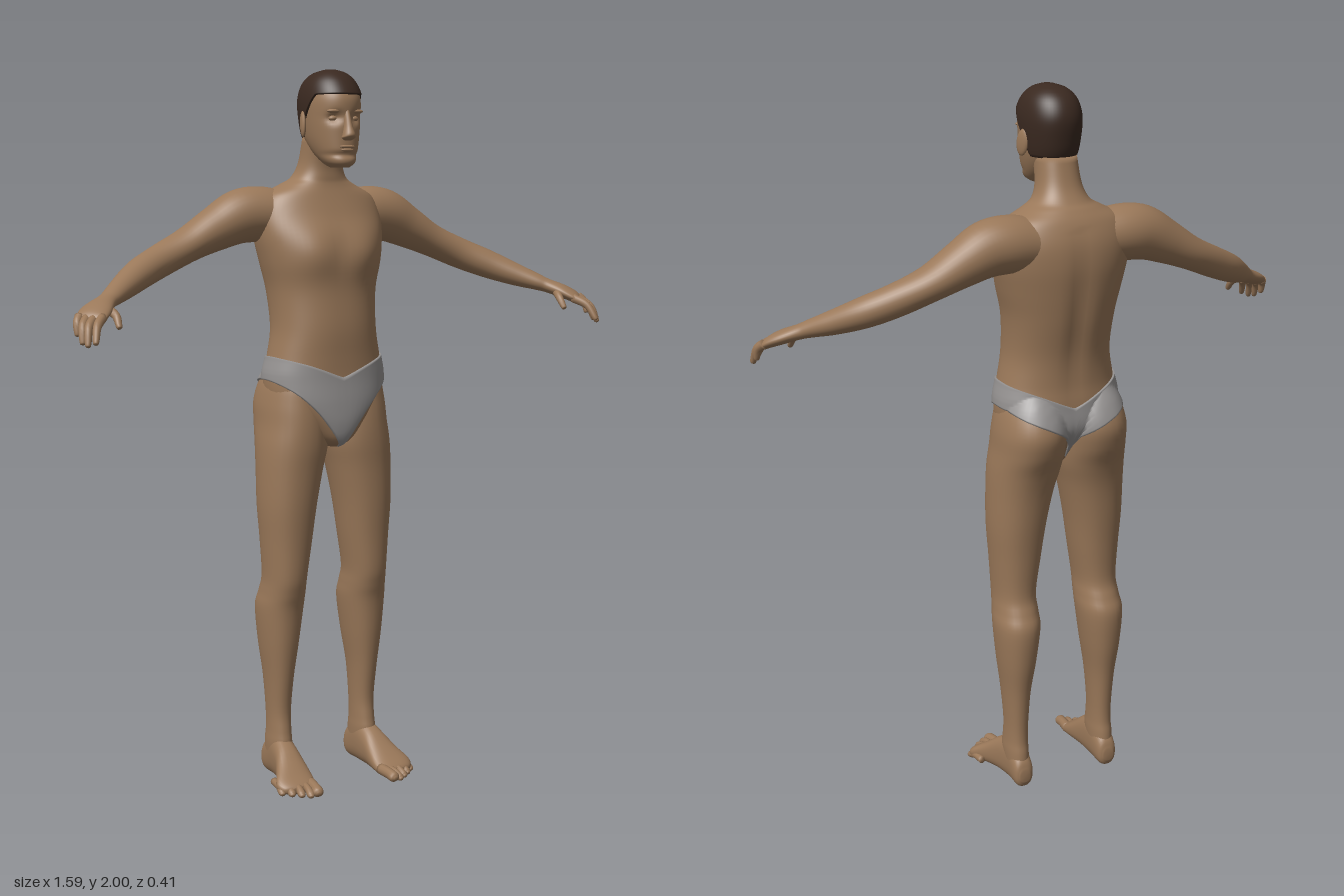
import * as THREE from 'three';

const V = (x, y, z) => new THREE.Vector3(x, y, z);
const flat = (name, color) => {
  const m = new THREE.MeshStandardMaterial({ color, side: THREE.DoubleSide });
  m.name = name;
  return m;
};

// Closed grid of rings (arrays of points), with optional fans over the ends
function skinRings(rings, capStart = true, capEnd = true) {
  const n = rings[0].length, pts = rings.flat(), index = [];
  for (let i = 0; i < rings.length - 1; i++) {
    for (let j = 0; j < n; j++) {
      const a = i * n + j, b = i * n + (j + 1) % n;
      index.push(a, b, b + n, a, b + n, a + n);
    }
  }
  const cap = (ring, start, flip) => {
    const c = pts.push(ring.reduce((s, p) => s.add(p), V(0, 0, 0)).divideScalar(n)) - 1;
    for (let j = 0; j < n; j++) {
      const a = start + j, b = start + (j + 1) % n;
      index.push(c, flip ? b : a, flip ? a : b);
    }
  };
  if (capStart) cap(rings[0], 0, true);
  if (capEnd) cap(rings.at(-1), (rings.length - 1) * n, false);
  const g = new THREE.BufferGeometry().setFromPoints(pts);
  g.setIndex(index);
  g.computeVertexNormals();
  return g;
}

// Smooth loft. Rows: 'y' [y,x0,x1,z0,z1], 'z' [z,x0,x1,y0,y1], 'path' [x,y,z,halfHeight,halfWidth]
function loft(kind, rows, { seg = 32, sub = 5, e = 2, deform } = {}) {
  const centre = [], size = [];
  for (const [p, q, r, s, t] of rows) {
    if (kind === 'path') { centre.push(V(p, q, r)); size.push(V(t, s, 0)); continue; }
    const u = (q + r) / 2, v = (s + t) / 2, hu = (r - q) / 2, hv = (t - s) / 2;
    centre.push(kind === 'y' ? V(u, p, v) : V(u, v, p));
    size.push(kind === 'y' ? V(hv, hu, 0) : V(hu, hv, 0));
  }
  const C = new THREE.CatmullRomCurve3(centre, false, 'catmullrom', 0.5);
  const S = new THREE.CatmullRomCurve3(size, false, 'catmullrom', 0.5);
  const steps = (rows.length - 1) * sub, rings = [];
  const pow = (c) => Math.sign(c) * Math.abs(c) ** (2 / e);
  for (let i = 0; i <= steps; i++) {
    const c = C.getPoint(i / steps), s = S.getPoint(i / steps);
    let A = V(0, 0, 1), B = V(1, 0, 0);
    if (kind === 'z') { A = V(1, 0, 0); B = V(0, 1, 0); }
    if (kind === 'path') {
      const T = C.getTangent(i / steps);
      A = V(0, 1, 0).cross(T).normalize();
      B = T.clone().cross(A);
    }
    rings.push(Array.from({ length: seg }, (_, j) => {
      const a = (j / seg) * Math.PI * 2;
      const p = c.clone().addScaledVector(A, s.x * pow(Math.cos(a))).addScaledVector(B, s.y * pow(Math.sin(a)));
      if (deform) deform(p);
      return p;
    }));
  }
  return skinRings(rings);
}

function mirrored(g) {
  const m = g.clone().scale(-1, 1, 1), ix = m.index.array;
  for (let i = 0; i < ix.length; i += 3) [ix[i], ix[i + 1]] = [ix[i + 1], ix[i]];
  m.computeVertexNormals();
  return m;
}

// Thin shell lying on other meshes, between two heights given per direction
function shell(targets, axisZ, low, high, thick, seg, rows, closeTop) {
  const ray = new THREE.Raycaster(), rings = [];
  for (let i = -1; i <= rows + (closeTop ? 0 : 1); i++) {
    const t = Math.min(Math.max(i / rows, 0), 1);
    const off = i < 0 || i > rows ? -0.004 : thick;
    rings.push(Array.from({ length: seg }, (_, j) => {
      const a = (j / seg) * Math.PI * 2, d = V(Math.sin(a), 0, Math.cos(a));
      const y = THREE.MathUtils.lerp(low(d.x, d.z), high(d.x, d.z), t);
      ray.set(V(0, y, axisZ).addScaledVector(d, 1), d.clone().negate());
      const hit = ray.intersectObjects(targets)[0];
      return hit ? hit.point.clone().addScaledVector(hit.face.normal, off) : V(0, y, axisZ);
    }));
  }
  return skinRings(rings, false, closeTop);
}

export function createModel() {
  const body = new THREE.Group();
  body.name = 'standingMan';
  const skin = flat('skin', 0x9a7859), hairMat = flat('hair', 0x3a2920), cloth = flat('briefsCloth', 0x949190);
  const add = (name, g, m = skin) => {
    const mesh = new THREE.Mesh(g, m);
    mesh.name = name;
    body.add(mesh);
    return mesh;
  };
  const pair = (name, g) => [add('left' + name, g), add('right' + name, mirrored(g))];
  const ball = (x, y, z, a, b, c) => new THREE.SphereGeometry(1, 16, 12).scale(a, b, c).translate(x, y, z);
  const sym = (rows) => rows.map(([y, w, z0, z1]) => [y, -w, w, z0, z1]);
  const bump = (d, r) => Math.exp(-(d * d) / (r * r));

  // Torso and neck, with soft chest and a spine groove
  const torso = add('torso', loft('y', sym([
    [0.965, 0.015, -0.06, 0.03], [0.985, 0.05, -0.09, 0.068], [1.03, 0.1, -0.125, 0.08],
    [1.09, 0.165, -0.165, 0.08], [1.16, 0.175, -0.165, 0.075], [1.22, 0.163, -0.16, 0.075],
    [1.3, 0.15, -0.165, 0.077], [1.4, 0.155, -0.185, 0.07], [1.48, 0.173, -0.197, 0.07],
    [1.55, 0.187, -0.203, 0.056], [1.61, 0.188, -0.198, 0.03], [1.66, 0.165, -0.18, 0.01],
    [1.69, 0.11, -0.16, 0], [1.71, 0.077, -0.142, -0.002], [1.75, 0.06, -0.12, 0], [1.82, 0.055, -0.1, 0.02],
  ]), {
    seg: 64, e: 2.3,
    deform: (p) => {
      if (p.z > 0) p.z += 0.014 * bump(Math.abs(p.x) - 0.075, 0.06) * bump(p.y - 1.51, 0.06);
      else if (p.y < 1.65) p.z += 0.01 * bump(p.x, 0.025) * bump(p.y - 1.4, 0.2);
    },
  }));

  // Legs, including the buttocks
  const legs = pair('Leg', loft('y', [
    [0.04, 0.108, 0.167, -0.122, -0.02], [0.1, 0.105, 0.17, -0.118, -0.005], [0.14, 0.106, 0.168, -0.112, -0.01],
    [0.2, 0.105, 0.168, -0.113, -0.015], [0.3, 0.098, 0.175, -0.123, -0.003], [0.4, 0.083, 0.187, -0.14, 0.01],
    [0.5, 0.07, 0.195, -0.147, 0.02], [0.55, 0.07, 0.19, -0.13, 0.032], [0.6, 0.07, 0.187, -0.115, 0.042],
    [0.7, 0.055, 0.193, -0.12, 0.048], [0.8, 0.04, 0.2, -0.13, 0.055], [0.9, 0.02, 0.2, -0.142, 0.06],
    [0.97, 0.003, 0.197, -0.16, 0.065], [1.03, 0, 0.19, -0.185, 0.065], [1.09, 0, 0.185, -0.196, 0.06],
    [1.15, 0.01, 0.17, -0.175, 0.05], [1.2, 0.04, 0.14, -0.14, 0.02],
  ], { e: 2.2 }));

  // Feet and toes
  pair('Foot', loft('z', [
    [-0.13, 0.122, 0.153, 0.02, 0.055], [-0.115, 0.108, 0.166, 0, 0.09], [-0.06, 0.105, 0.17, 0, 0.13],
    [0, 0.104, 0.18, 0, 0.112], [0.05, 0.1, 0.2, 0, 0.076], [0.085, 0.1, 0.216, 0, 0.05],
    [0.11, 0.105, 0.205, 0.002, 0.034], [0.12, 0.115, 0.18, 0.008, 0.026],
  ], { e: 2.4 }));
  for (let i = 0; i < 5; i++) {
    const x = 0.12 + i * 0.021, tip = [0.168, 0.165, 0.15, 0.132, 0.112][i], r = i ? 0.011 : 0.016;
    pair('Toe' + (i + 1), loft('path', [
      [x - 0.004, 0.022, tip - 0.075, r, r], [x, 0.02, tip - 0.035, r, r * 0.9],
      [x + 0.003, r, tip - 0.01, r * 0.9, r], [x + 0.004, r * 0.9, tip, r * 0.3, r * 0.4],
    ], { seg: 12 }));
  }

  // Arms with palms
  pair('Arm', loft('path', [
    [0.1, 1.605, -0.1, 0.07, 0.08], [0.17, 1.61, -0.105, 0.076, 0.08], [0.23, 1.603, -0.105, 0.074, 0.075],
    [0.3, 1.572, -0.105, 0.061, 0.066], [0.385, 1.53, -0.1, 0.047, 0.058], [0.47, 1.492, -0.08, 0.044, 0.048],
    [0.545, 1.46, -0.045, 0.041, 0.045], [0.61, 1.43, 0.005, 0.033, 0.037], [0.66, 1.408, 0.05, 0.024, 0.03],
    [0.685, 1.397, 0.07, 0.02, 0.029], [0.72, 1.381, 0.1, 0.019, 0.042], [0.745, 1.365, 0.125, 0.015, 0.043],
    [0.756, 1.355, 0.135, 0.007, 0.034],
  ]));

  // Fingers and thumb: base, knuckle and tip
  const digits = {
    Thumb: [[0.7, 1.386, 0.092], [0.684, 1.367, 0.132], [0.684, 1.335, 0.16]],
    IndexFinger: [[0.724, 1.364, 0.145], [0.75, 1.344, 0.178], [0.765, 1.302, 0.205]],
    MiddleFinger: [[0.741, 1.362, 0.133], [0.768, 1.342, 0.167], [0.78, 1.295, 0.19]],
    RingFinger: [[0.756, 1.362, 0.12], [0.777, 1.343, 0.148], [0.785, 1.3, 0.167]],
    LittleFinger: [[0.77, 1.366, 0.107], [0.782, 1.35, 0.122], [0.785, 1.318, 0.132]],
  };
  for (const [name, [a, b, c]] of Object.entries(digits)) {
    const nearTip = c.map((v, i) => v + (b[i] - v) * 0.15);
    pair(name, loft('path', [[...a, 0.013, 0.013], [...b, 0.011, 0.011], [...nearTip, 0.008, 0.008], [...c, 0.003, 0.003]], { seg: 12 }));
  }

  // Head with eye sockets and a narrower jaw
  const head = add('head', loft('y', sym([
    [1.737, 0.022, 0.02, 0.088], [1.75, 0.04, -0.005, 0.1], [1.78, 0.055, -0.05, 0.1], [1.82, 0.066, -0.088, 0.1],
    [1.87, 0.072, -0.103, 0.1], [1.92, 0.073, -0.108, 0.1], [1.96, 0.062, -0.092, 0.078],
    [1.984, 0.04, -0.062, 0.048], [1.994, 0.012, -0.025, 0.015],
  ]), {
    seg: 64, sub: 8, e: 2.2,
    deform: (p) => {
      if (p.z < 0.03) return;
      p.z -= 0.016 * bump(Math.abs(p.x) - 0.032, 0.018) * bump(p.y - 1.868, 0.014);
      p.z -= 0.006 * bump(p.y - 1.77, 0.008);
    },
  }));
  add('nose', loft('y', sym([
    [1.808, 0.01, 0.085, 0.106], [1.815, 0.019, 0.085, 0.12], [1.824, 0.017, 0.085, 0.126],
    [1.845, 0.012, 0.082, 0.117], [1.875, 0.009, 0.08, 0.106], [1.89, 0.008, 0.08, 0.1],
  ]), { seg: 20 }));
  add('upperLip', ball(0, 1.792, 0.095, 0.024, 0.005, 0.009));
  add('lowerLip', ball(0, 1.783, 0.094, 0.02, 0.005, 0.009));
  pair('Eye', ball(0.032, 1.867, 0.073, 0.013, 0.008, 0.011));
  pair('Brow', ball(0.032, 1.886, 0.083, 0.023, 0.006, 0.012).rotateZ(0));
  pair('Ear', ball(0, 0, 0, 0.008, 0.036, 0.021).rotateX(-0.2).rotateY(0.3).translate(0.079, 1.853, -0.01));

  // Short hair: high on the forehead, down to the nape
  const hairline = (x, z) => (z > 0
    ? 1.87 + 0.06 * Math.min(1, z * 1.7)
    : 1.82 + 0.05 * Math.max(0, 1 + z * 2.5));
  add('hair', shell([head], -0.004, hairline, () => 1.9935, 0.006, 72, 24, true), hairMat);

  // Briefs: waistband dips at front and back, high-cut leg openings
  const low = (x, z) => (z > 0 ? 0.97 + 0.185 * Math.abs(x) ** 1.1 : 1.0 + 0.155 * Math.abs(x) ** 0.5);
  const high = (x, z) => (z > 0 ? 1.165 : 1.155) + (z > 0 ? 0.055 : 0.065) * Math.abs(x) ** 1.2;
  add('briefs', shell([torso, ...legs], -0.04, low, high, 0.005, 96, 18, false), cloth);

  return body;
}
